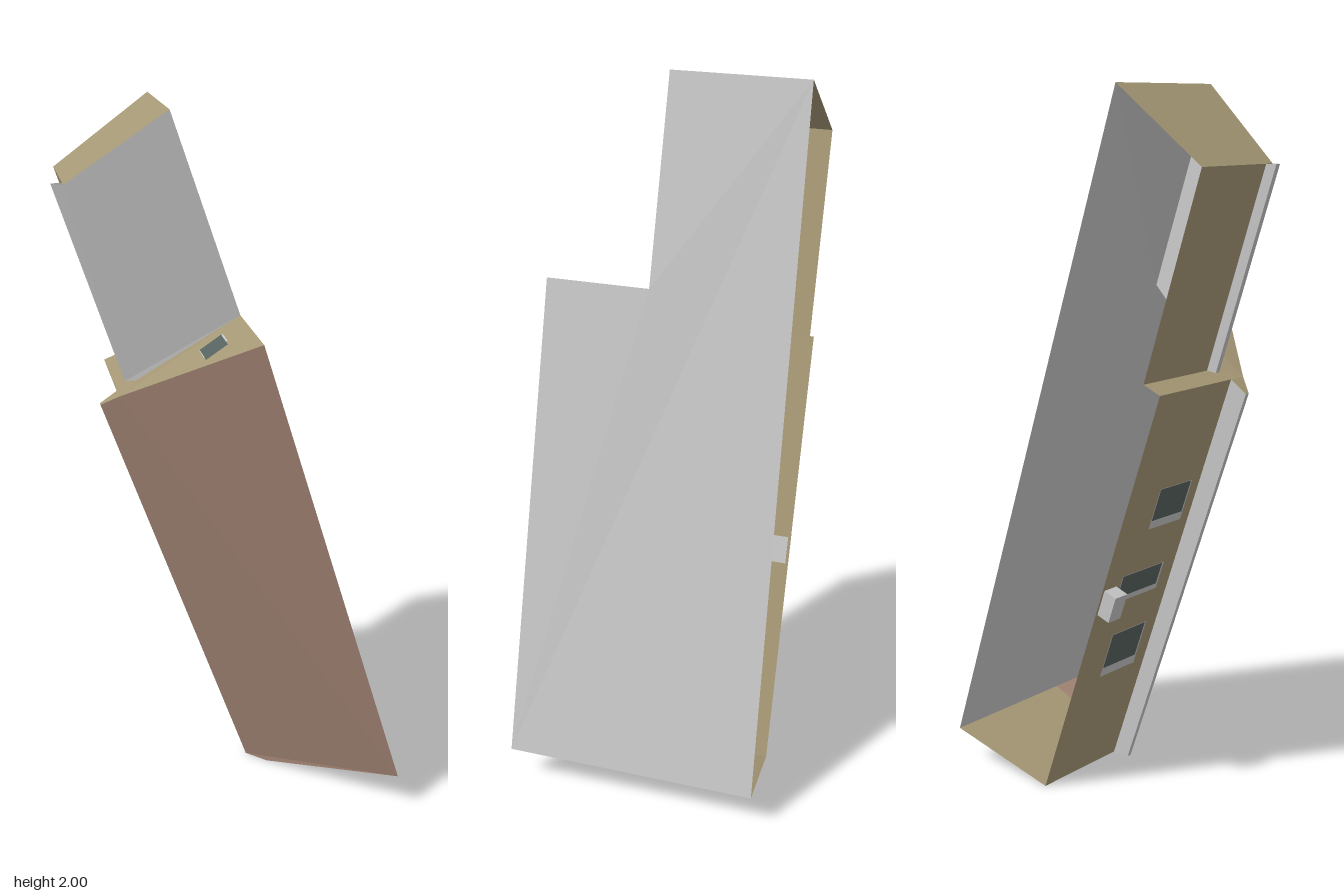
import * as THREE from 'three';

const flat = (name, color) => {
  const m = new THREE.MeshStandardMaterial({ color, side: THREE.DoubleSide, flatShading: true });
  m.name = name;
  return m;
};

export function createModel() {
  const grey = flat('pale grey', 0xc4c4c4);
  const tan = flat('tan', 0xa59775);
  const brown = flat('brown', 0xa28474);
  const glass = flat('dark glass', 0x56625f);
  const model = new THREE.Group();
  model.name = 'tiltedHouseShell';

  // Flat panel from corner points, triangulated on its dominant plane
  function panel(name, material, pts, parent = model) {
    const n = new THREE.Vector3();
    pts.forEach((p, i) => {
      const q = pts[(i + 1) % pts.length];
      n.x += (p[1] - q[1]) * (p[2] + q[2]);
      n.y += (p[2] - q[2]) * (p[0] + q[0]);
      n.z += (p[0] - q[0]) * (p[1] + q[1]);
    });
    const a = [Math.abs(n.x), Math.abs(n.y), Math.abs(n.z)];
    const drop = a.indexOf(Math.max(...a));
    const [u, v] = [0, 1, 2].filter((k) => k !== drop);
    const faces = THREE.ShapeUtils.triangulateShape(pts.map((p) => new THREE.Vector2(p[u], p[v])), []);
    const geo = new THREE.BufferGeometry();
    geo.setAttribute('position', new THREE.Float32BufferAttribute(faces.flat().flatMap((i) => pts[i]), 3));
    geo.computeVertexNormals();
    const mesh = new THREE.Mesh(geo, material);
    mesh.name = name;
    parent.add(mesh);
    return mesh;
  }

  // Corners of the large grey slab
  const A = [0.455, 0.105, -0.368], B = [0.455, 0.105, 0.365];
  const C = [0.04, 1.44, 0.365], D = [0.04, 1.44, 0.063];
  const E = [-0.15, 2, 0.063], F = [-0.15, 2, -0.333];
  // Corners of the upper and lower facades
  const G = [-0.425, 1.797, -0.033], H = [-0.425, 1.797, -0.333];
  const I = [-0.24, 1.238, -0.333], J = [-0.24, 1.238, -0.035];
  const K = [-0.295, 1.215, -0.333], L = [-0.295, 1.215, 0.03];
  const M = [0.135, 0, -0.333], N = [0.135, 0, 0.043];
  const S = [0.455, 0.105, 0.06];
  // Overhanging edges beyond the facades
  const upTop = [-0.457, 1.797, -0.046], upLow = [-0.27, 1.235, -0.046];
  const lowTop = [-0.345, 1.18, -0.012], lowEnd = [0.08, 0, -0.012];
  const back = (p, z) => [p[0], p[1], z];

  // Shell walls, open at the back
  panel('greySlab', grey, [A, B, C, D, E, F]);
  panel('stepWall', grey, [D, E, G, upTop, upLow, J]);
  panel('brownSlope', brown, [B, C, L, lowTop, lowEnd, N]);
  panel('topCap', tan, [F, E, G, H]);
  panel('middleCap', tan, [C, D, J, I, K, L]);
  panel('upperFacade', tan, [H, G, J, I]);
  panel('lowerFacade', tan, [M, N, L, K]);
  panel('bottomCap', tan, [A, S, N, M]);
  panel('bottomGable', brown, [S, B, N]);

  // Eave: fascia and soffit behind each overhang
  function eave(name, top, low, wallTop, wallLow, z) {
    const g = new THREE.Group();
    g.name = name;
    panel('fascia', grey, [top, low, back(low, z), back(top, z)], g);
    panel('soffit', grey, [back(top, z), back(low, z), back(wallLow, z), back(wallTop, z)], g);
    model.add(g);
  }
  eave('upperEave', upTop, upLow, G, J, -0.062);
  eave('lowerEave', lowTop, lowEnd, L, N, -0.026);
  panel('lowerEaveEnd', tan, [L, lowTop, back(lowTop, -0.026), back(L, -0.026)]);

  // Facade coordinates: t runs up the wall, out is the distance off it
  const onWall = (t, z, out) => [0.135 - 0.43 * t - 0.943 * out, 1.215 * t - 0.334 * out, z];
  const plate = (name, mat, t0, t1, z0, z1, out, parent) =>
    panel(name, mat, [onWall(t0, z0, out), onWall(t0, z1, out), onWall(t1, z1, out), onWall(t1, z0, out)], parent);

  // Three facade windows: centre t, centre z, height, width
  for (const [t, z, h, w] of [[0.712, -0.136, 0.1, 0.14], [0.519, -0.17, 0.07, 0.18], [0.335, -0.151, 0.115, 0.15]]) {
    const g = new THREE.Group();
    g.name = 'facadeWindow';
    plate('windowFrame', grey, t - h / 2, t + h / 2, z - w / 2, z + w / 2, 0.002, g);
    plate('windowGlass', glass, t - h * 0.28, t + h / 2, z - w / 2, z + w * 0.44, 0.004, g);
    model.add(g);
  }

  // Small box fixed to the facade
  const box = new THREE.Mesh(new THREE.BoxGeometry(0.045, 0.08, 0.05), grey);
  box.name = 'facadeBox';
  box.position.set(...onWall(0.5, -0.3, 0.02));
  box.rotation.z = Math.atan2(0.43, 1.215);
  model.add(box);

  // Window on the middle cap
  const onCap = (x, z, up) => [x, 1.44 + 0.672 * (x - 0.04) + up, z];
  const capPlate = (name, mat, x0, x1, z0, z1, up) =>
    panel(name, mat, [onCap(x0, z0, up), onCap(x1, z0, up), onCap(x1, z1, up), onCap(x0, z1, up)]);
  capPlate('capWindowFrame', grey, -0.085, -0.02, 0.12, 0.185, 0.005);
  capPlate('capWindowGlass', glass, -0.085, -0.026, 0.124, 0.22, 0.009);

  return model;
}
